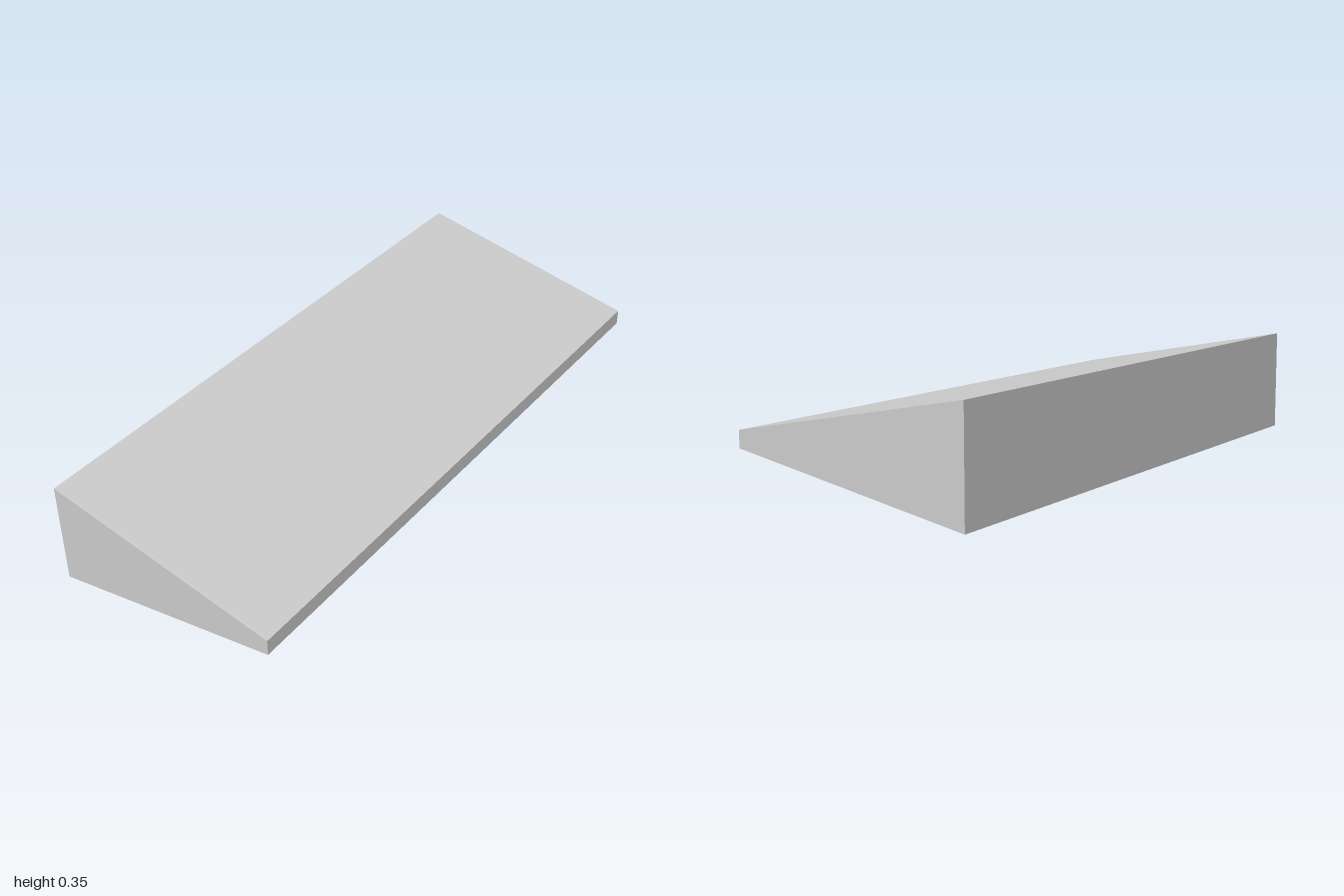
import * as THREE from 'three';

const W = 2, D = 0.39;          // width, half depth
const SKIN = 0.012;             // outer sheet thickness
const GAP = 0.006;              // groove between skin and lining
const LINING = 0.01;
const top = z => 0.2735 - 0.1885 * z;
const bottom = z => 0.0735 + 0.1885 * z;

const material = new THREE.MeshStandardMaterial({ color: 0xcccccc, flatShading: true });

// Extrude a (z, y) profile along x, centred on the given x.
function panel(name, profile, width, x = 0) {
  const shape = new THREE.Shape(profile.map(([z, y]) => new THREE.Vector2(z, y)));
  const geometry = new THREE.ExtrudeGeometry(shape, { depth: width, bevelEnabled: false });
  geometry.translate(0, 0, -width / 2);
  geometry.rotateY(-Math.PI / 2);
  geometry.translate(x, 0, 0);
  const mesh = new THREE.Mesh(geometry, material);
  mesh.name = name;
  return mesh;
}

// Tapered section between two depths, lowered from the roof by drop.
const section = (z0, z1, drop = 0) => [
  [z0, bottom(z0)], [z1, bottom(z1)], [z1, top(z1) - drop], [z0, top(z0) - drop],
];

export function createModel() {
  const group = new THREE.Group();
  group.name = 'wedgeCanopy';

  // Roof, front fascia and back wall folded from one sheet, open below
  const f = D - SKIN, b = -D + SKIN;
  group.add(panel('roofFasciaAndBack', [
    [-D, bottom(-D)], [b, bottom(b)], [b, top(b) - SKIN], [f, top(f) - SKIN],
    [f, bottom(f)], [D, bottom(D)], [D, top(D)], [-D, top(-D)],
  ], W - 2 * SKIN));

  // Tapered side walls, each with a lining set behind a narrow groove
  const liningX = W / 2 - SKIN - GAP - LINING / 2;
  const liningFront = f - GAP;
  for (const [side, s] of [['left', 1], ['right', -1]]) {
    group.add(panel(side + 'SideWall', section(-D, D), SKIN, s * (W / 2 - SKIN / 2)));
    group.add(panel(side + 'SideLining', section(b, liningFront, SKIN), LINING, s * liningX));
  }

  // Lining behind the front fascia
  group.add(panel('fasciaLining', section(liningFront - LINING, liningFront, SKIN),
    2 * liningX - LINING));

  return group;
}
